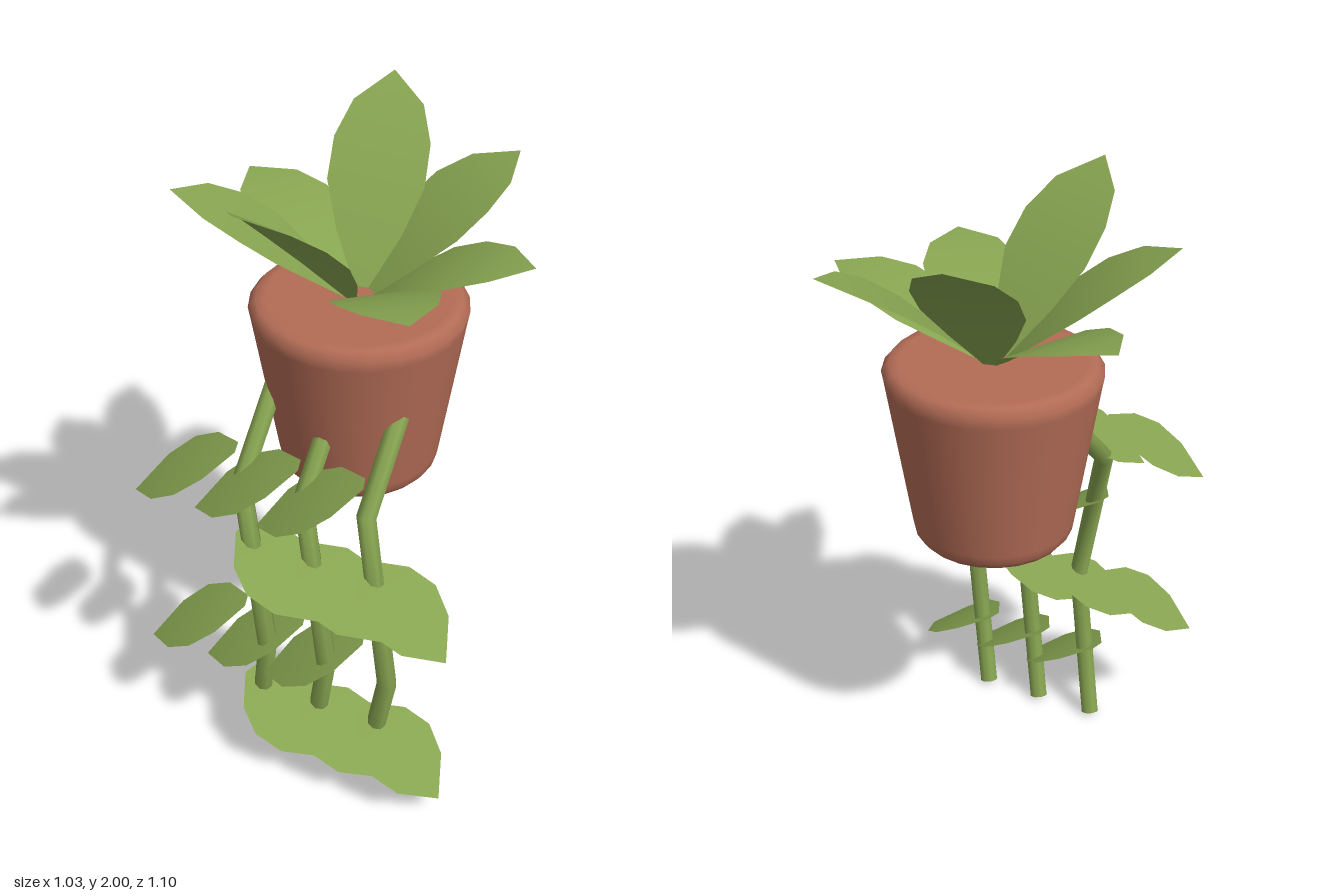
import * as THREE from 'three';

const CX = -0.01, CZ = -0.04; // pot axis

// Leaf blade along +x from the origin: half widths at even steps, height given by rise(t)
function leafGeometry(start, end, halfWidths, rise) {
  const pos = [], idx = [], n = halfWidths.length - 1;
  halfWidths.forEach((w, i) => {
    const t = i / n, x = start + (end - start) * t, y = rise(t);
    pos.push(x, y, -w, x, y, w);
    const a = i * 2;
    if (i < n - 1) idx.push(a, a + 1, a + 2, a + 1, a + 3, a + 2);
    else if (i < n) idx.push(a, a + 1, a + 2); // pointed tip
  });
  const g = new THREE.BufferGeometry();
  g.setAttribute('position', new THREE.Float32BufferAttribute(pos, 3));
  g.setIndex(idx);
  g.computeVertexNormals();
  return g;
}

// Straight-segmented path with mitred corners
class Polyline extends THREE.Curve {
  constructor(points) { super(); this.points = points; }
  getPointAt(u, target = new THREE.Vector3()) {
    const f = u * (this.points.length - 1);
    const i = Math.min(Math.floor(f + 1e-6), this.points.length - 2);
    return target.lerpVectors(this.points[i], this.points[i + 1], f - i);
  }
  getPoint(u, target) { return this.getPointAt(u, target); }
  getTangentAt(u, target = new THREE.Vector3()) {
    const p = this.points, i = Math.round(u * (p.length - 1));
    target.set(0, 0, 0);
    if (i > 0) target.add(p[i].clone().sub(p[i - 1]).normalize());
    if (i < p.length - 1) target.add(p[i + 1].clone().sub(p[i]).normalize());
    return target.normalize();
  }
}

export function createModel() {
  const terracotta = new THREE.MeshStandardMaterial({ color: 0xb36c56 });
  terracotta.name = 'terracotta';
  const green = new THREE.MeshStandardMaterial({ color: 0x86a350, side: THREE.DoubleSide });
  green.name = 'leaf green';

  const model = new THREE.Group();
  model.name = 'hangingPlant';
  const add = (parent, name, geometry, material) => {
    const mesh = new THREE.Mesh(geometry, material);
    mesh.name = name;
    parent.add(mesh);
    return mesh;
  };

  // Tapered pot with bevelled rims, closed on top
  const profile = [
    [0, 0.948], [0.2, 0.948], [0.228, 0.95], [0.245, 0.972], [0.25, 1.0],
    [0.32, 1.465], [0.326, 1.5], [0.304, 1.524], [0.275, 1.526], [0, 1.526],
  ].map(([x, y]) => new THREE.Vector2(x, y));
  add(model, 'pot', new THREE.LatheGeometry(profile, 24), terracotta).position.set(CX, 0, CZ);

  // Rosette of seven arching leaves in three heights
  const rosette = new THREE.Group();
  rosette.name = 'rosette';
  rosette.position.set(CX, 1.527, CZ);
  model.add(rosette);
  for (let i = 0; i < 7; i++) {
    const h = [0.21, 0.34, 0.472][i % 3];
    const g = leafGeometry(0.04, 0.524, [0.022, 0.098, 0.146, 0.145, 0.106, 0],
      t => (h + 0.21) * t - 0.21 * t * t);
    add(rosette, 'rosetteLeaf', g, green).rotation.y = i * Math.PI * 2 / 7;
  }

  // Three trailing vines, each with four alternating leaves
  const path = [[0, 1.288, 0.09], [0, 1.05, 0.355], [0.112, 0.505, 0.447], [0, 0.01, 0.328]]
    .map(p => new THREE.Vector3(...p));
  const stemGeometry = new THREE.TubeGeometry(new Polyline(path), 3, 0.031, 8, false);
  const capGeometry = new THREE.CircleGeometry(0.031, 8);
  const vineLeaf = leafGeometry(0, 0.318, [0.025, 0.114, 0.142, 0.108, 0],
    t => -0.13 * t - 0.06 * t * t);
  const end = path[3], endDir = end.clone().sub(path[2]).normalize();

  for (const k of [-1, 0, 1]) {
    const vine = new THREE.Group();
    vine.name = 'vine';
    vine.position.x = CX + 0.203 * k;
    model.add(vine);
    add(vine, 'stem', stemGeometry, green);
    const cap = add(vine, 'stemEnd', capGeometry, green);
    cap.position.copy(end);
    cap.quaternion.setFromUnitVectors(new THREE.Vector3(0, 0, 1), endDir);
    [1.185, 0.88, 0.577, 0.272].forEach((y, i) => {
      const leaf = add(vine, 'vineLeaf', vineLeaf, green);
      leaf.position.set(0, y, 0.37);
      leaf.rotation.y = i % 2 ? -0.3 : Math.PI + 0.3;
    });
  }
  return model;
}
